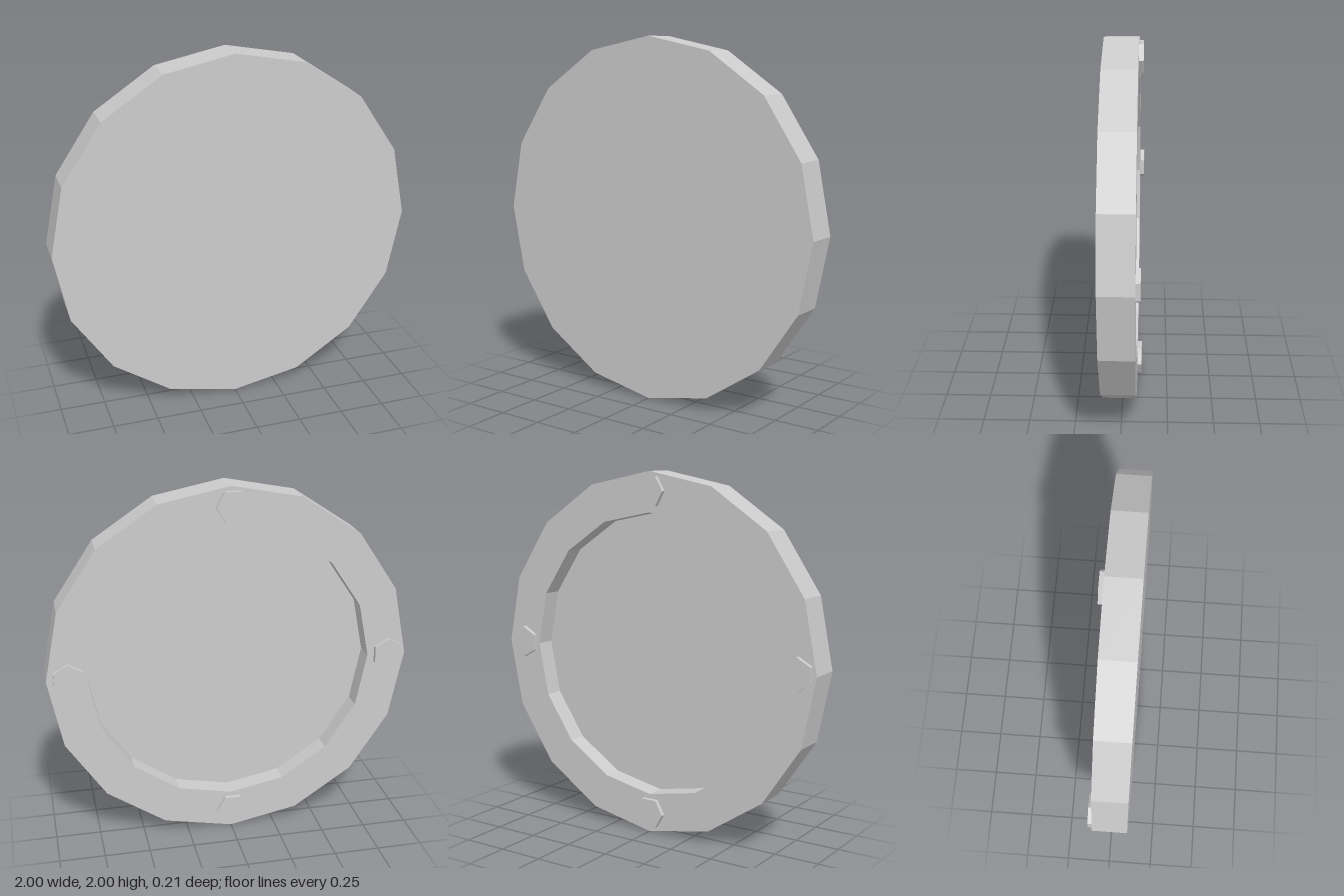
import * as THREE from 'three';

const material = new THREE.MeshStandardMaterial({ color: 0xcccccc, flatShading: true });

function faceted(geometry, name) {
  const flat = geometry.toNonIndexed();
  flat.computeVertexNormals();
  const mesh = new THREE.Mesh(flat, material);
  mesh.name = name;
  return mesh;
}

export function createModel() {
  const model = new THREE.Group();
  model.name = 'boltedCover';
  const front = 0.104, back = -0.08, floor = 0.028;

  // Sixteen-sided disc with a recessed back, turned so its axis lies along z
  const profile = [
    [0, floor], [0.782, floor], [0.782, back], [1, back], [1, front], [0, front],
  ].map(([r, z]) => new THREE.Vector2(r, z));
  const disc = faceted(new THREE.LatheGeometry(profile, 16).rotateX(Math.PI / 2), 'coverDisc');
  disc.position.y = 1;
  model.add(disc);

  // Four hexagonal bolt heads around the back rim
  const bolts = new THREE.Group();
  bolts.name = 'bolts';
  bolts.position.set(-0.008, 1.005, 0);
  const headDepth = 0.034;
  for (let i = 0; i < 4; i++) {
    const angle = i * Math.PI / 2;
    const head = faceted(
      new THREE.CylinderGeometry(0.09, 0.09, headDepth, 6).rotateX(Math.PI / 2), 'boltHead');
    head.position.set(0.89 * Math.cos(angle), 0.89 * Math.sin(angle), -0.104 + headDepth / 2);
    head.rotation.z = angle;
    bolts.add(head);
  }
  model.add(bolts);
  return model;
}
